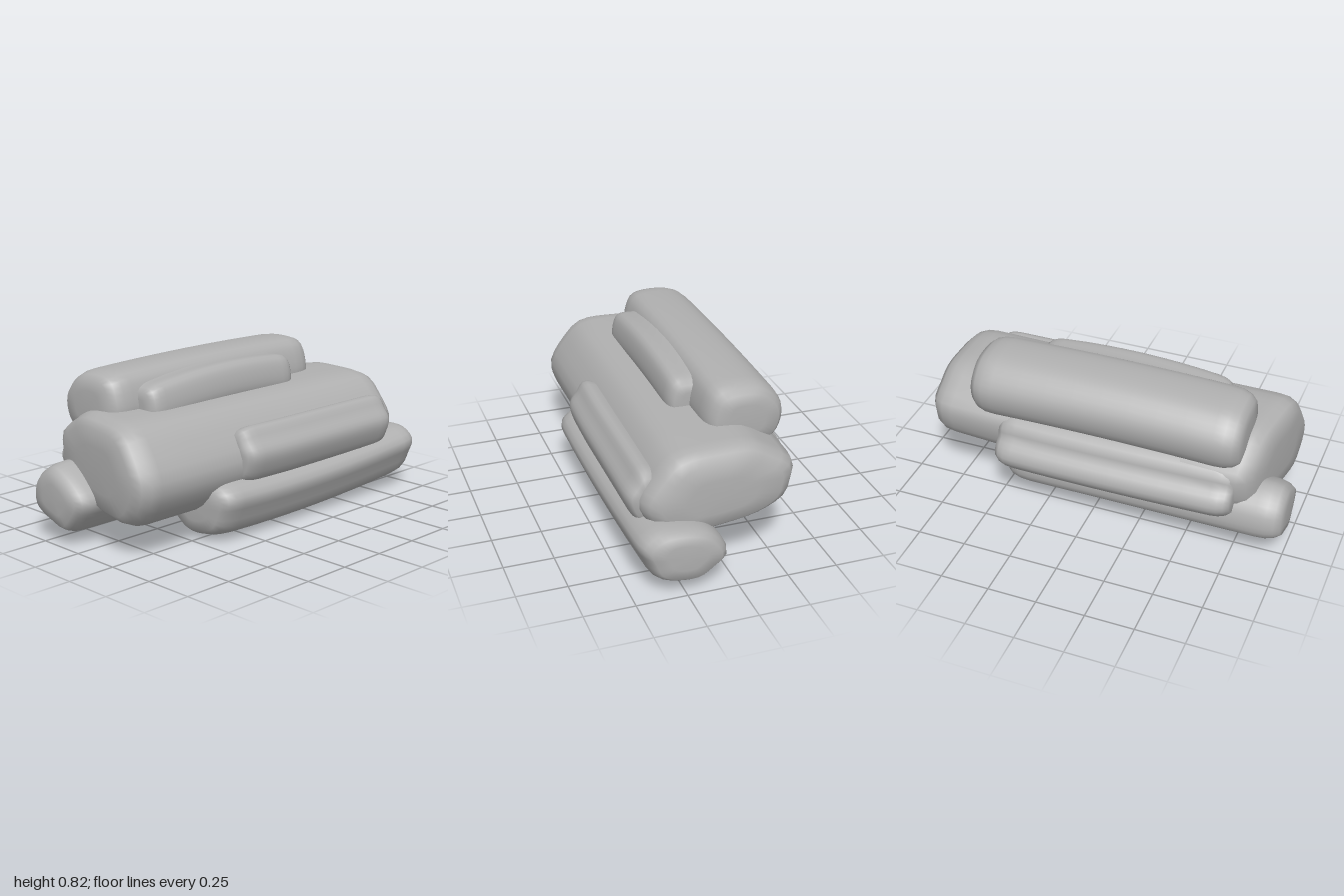
import * as THREE from 'three';

const SIDES = 36;
// End rounding: [fraction of bevel length, cross-section scale]
const CAP = [[0, 0.02], [0, 0.45], [0.05, 0.78], [0.28, 0.91], [0.6, 0.98], [1, 1]];

// A rounded block lofted along z from one cross-section, then bent by a rule.
function block(name, material, section, z0, z1, bevel, bend = () => {}) {
  const pts = section.map(([x, y]) => new THREE.Vector3(x, y, 0));
  if (THREE.ShapeUtils.area(pts) < 0) pts.reverse();
  const curve = new THREE.CatmullRomCurve3(pts, true, 'centripetal');
  const ring = curve.getSpacedPoints(SIDES).slice(0, SIDES);
  const centre = new THREE.Vector3();
  ring.forEach(p => centre.addScaledVector(p, 1 / SIDES));

  const stations = CAP.map(([t, s]) => [z0 + t * bevel, s]);
  for (let i = 1; i < 8; i++) stations.push([THREE.MathUtils.lerp(z0 + bevel, z1 - bevel, i / 8), 1]);
  for (const [t, s] of [...CAP].reverse()) stations.push([z1 - t * bevel, s]);

  const position = [], index = [];
  for (const [z, s] of stations) {
    for (const p of ring) {
      const v = p.clone().sub(centre).multiplyScalar(s).add(centre).setZ(z);
      bend(v);
      position.push(v.x, v.y, v.z);
    }
  }
  for (let i = 0; i < stations.length - 1; i++) {
    for (let j = 0; j < SIDES; j++) {
      const a = i * SIDES + j, b = i * SIDES + (j + 1) % SIDES;
      index.push(a, b, b + SIDES, a, b + SIDES, a + SIDES);
    }
  }
  // Close the tiny end holes
  const last = (stations.length - 1) * SIDES;
  for (let j = 1; j < SIDES - 1; j++) {
    index.push(0, j + 1, j, last, last + j, last + j + 1);
  }
  const geometry = new THREE.BufferGeometry();
  geometry.setAttribute('position', new THREE.Float32BufferAttribute(position, 3));
  geometry.setIndex(index);
  geometry.computeVertexNormals();
  const mesh = new THREE.Mesh(geometry, material);
  mesh.name = name;
  return mesh;
}

export function createModel() {
  const group = new THREE.Group();
  group.name = 'stackedBlocks';
  const grey = new THREE.MeshStandardMaterial({ color: 0xb0b0b0 });
  grey.name = 'stone grey';
  const add = (...args) => group.add(block(args[0], grey, ...args.slice(1)));

  // Large core with a slanted front and an underside that rises to the back
  add('coreBlock', [[-0.36, 0.5], [-0.26, 0.57], [-0.16, 0.625], [0, 0.635], [0.23, 0.61], [0.32, 0.52],
    [0.395, 0.38], [0.375, 0.28], [0.27, 0.16], [0.14, 0.15], [0, 0.165], [-0.2, 0.21],
    [-0.33, 0.3], [-0.36, 0.4]], -0.88, 0.95, 0.14, v => {
    const front = Math.max(0, v.z), back = Math.max(0, -v.z);
    v.z += 0.16 * (v.x - 0.35) * front;
    v.y += 0.22 * back * Math.max(0, 0.5 - v.y);
    v.x += 0.02 * back;
  });

  // Upper block lying on the core
  add('upperBlock', [[-0.35, 0.54], [-0.385, 0.68], [-0.3, 0.79], [-0.2, 0.82], [-0.04, 0.805],
    [0, 0.74], [0.01, 0.6], [-0.1, 0.52], [-0.25, 0.5]], -0.625, 0.775, 0.13,
    v => { v.y -= 0.03 * v.z * v.z; });

  // Narrow ledge beside the upper block
  add('upperLedge', [[-0.1, 0.58], [-0.1, 0.78], [0, 0.785], [0.085, 0.78], [0.115, 0.72],
    [0.115, 0.62], [0.05, 0.56]], -0.37, 0.62, 0.09,
    v => { v.y -= 0.14 * (v.z - 0.05) ** 2; });

  // Left flank block
  add('leftFlank', [[0.25, 0.48], [0.31, 0.52], [0.38, 0.535], [0.42, 0.48], [0.46, 0.42],
    [0.45, 0.35], [0.4, 0.27], [0.3, 0.28]], -0.77, 0.3, 0.1,
    v => { v.x -= 0.03 * Math.max(0, v.z); });

  // Right flank block
  add('rightFlank', [[-0.2, 0.5], [-0.32, 0.53], [-0.39, 0.48], [-0.4, 0.43], [-0.44, 0.4],
    [-0.465, 0.34], [-0.43, 0.28], [-0.35, 0.23], [-0.2, 0.26]], -0.47, 0.76, 0.1,
    v => { v.x += 0.03 * v.z * v.z; });

  // Lower block reaching out at the back
  add('lowerBackBlock', [[0.03, 0.11], [0.045, 0.17], [0.12, 0.25], [0.27, 0.29], [0.4, 0.28],
    [0.465, 0.22], [0.44, 0.14], [0.385, 0.04], [0.18, 0], [0.1, 0.045]], -1, 0.48, 0.13,
    v => { v.y += 0.05 * v.z * v.z; });

  // Lower block reaching out at the front
  add('lowerFrontBlock', [[-0.34, 0.3], [-0.22, 0.385], [-0.13, 0.36], [0, 0.26], [0.015, 0.21],
    [-0.07, 0.09], [-0.11, 0.06], [-0.18, 0.075], [-0.35, 0.16]], -0.45, 1, 0.13);

  return group;
}
